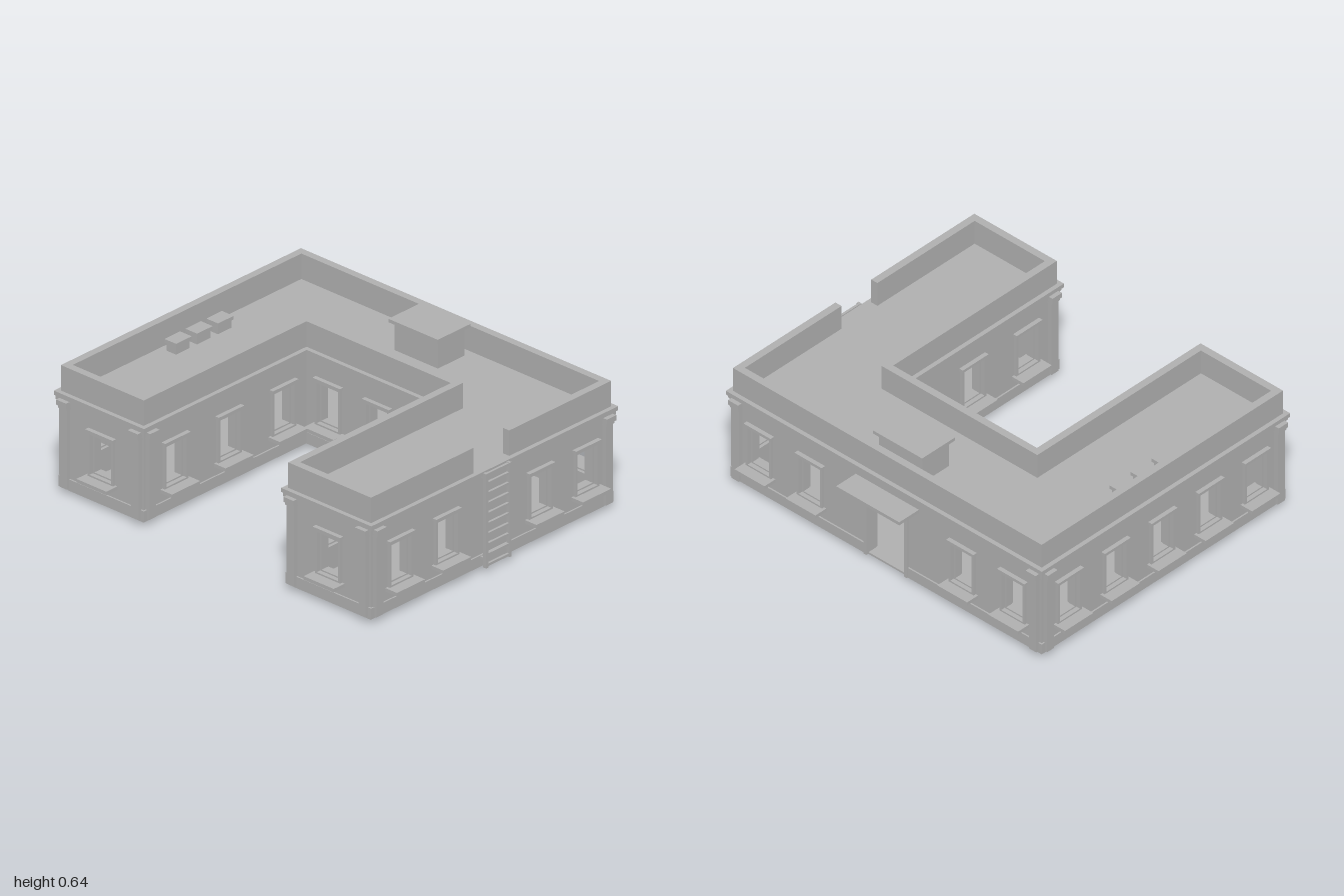
import * as THREE from 'three';

const X = 0.93, BACK = -0.74, FRONT = 0.796, CX = 0.433, CZ = -0.245; // plan of the U
const MID = (BACK + FRONT) / 2, LEN = FRONT - BACK;

const stone = new THREE.MeshStandardMaterial({ color: 0xb0b0b0 });
stone.name = 'grey stone';

function mesh(parent, name, geo) {
  const m = new THREE.Mesh(geo, stone);
  m.name = name;
  parent.add(m);
  return m;
}

// box given by its limits
function box(parent, name, x0, x1, y0, y1, z0, z1) {
  const g = new THREE.BoxGeometry(x1 - x0, y1 - y0, z1 - z0);
  g.translate((x0 + x1) / 2, (y0 + y1) / 2, (z0 + z1) / 2);
  return mesh(parent, name, g);
}

// plan outline grown outwards by d, running from the right front corner to the right back corner
const outline = d => [
  [X + d, FRONT + d], [CX - d, FRONT + d], [CX - d, CZ + d], [-CX + d, CZ + d],
  [-CX + d, FRONT + d], [-X - d, FRONT + d], [-X - d, BACK - d], [X + d, BACK - d],
];

// horizontal slab from plan points
function slab(parent, name, pts, y0, y1) {
  const shape = new THREE.Shape(pts.map(p => new THREE.Vector2(...p)));
  const g = new THREE.ExtrudeGeometry(shape, { depth: y1 - y0, bevelEnabled: false });
  g.rotateX(Math.PI / 2);
  g.translate(0, y1, 0);
  return mesh(parent, name, g);
}

function rect(path, x0, x1, y0, y1) {
  path.moveTo(x0, y0);
  path.lineTo(x1, y0);
  path.lineTo(x1, y1);
  path.lineTo(x0, y1);
  path.closePath();
  return path;
}

// upright plate with rectangular holes, from z0 to z1
function plate(parent, name, r, holes, z0, z1) {
  const s = rect(new THREE.Shape(), ...r);
  for (const h of holes) s.holes.push(rect(new THREE.Path(), ...h));
  const g = new THREE.ExtrudeGeometry(s, { depth: z1 - z0, bevelEnabled: false });
  g.translate(0, 0, z0);
  return mesh(parent, name, g);
}

function windowTrim(wall, x) {
  const g = new THREE.Group();
  g.name = 'window';
  g.position.x = x;
  wall.add(g);
  plate(g, 'outerFrame', [-0.076, 0.076, 0.137, 0.355], [[-0.064, 0.064, 0.145, 0.343]], -0.01, 0.014);
  plate(g, 'innerFrame', [-0.066, 0.066, 0.142, 0.346], [[-0.055, 0.055, 0.152, 0.334]], -0.045, -0.008);
  box(g, 'windowHead', -0.082, 0.082, 0.353, 0.366, 0, 0.022);
  box(g, 'windowSill', -0.09, 0.09, 0.12, 0.137, -0.02, 0.07);
}

function pilaster(wall, x) {
  const g = new THREE.Group();
  g.name = 'pilaster';
  g.position.x = x;
  wall.add(g);
  box(g, 'shaft', -0.022, 0.022, 0.03, 0.42, 0, 0.022);
  box(g, 'capLower', -0.026, 0.026, 0.42, 0.435, 0, 0.028);
  box(g, 'capUpper', -0.03, 0.03, 0.435, 0.46, 0, 0.035);
}

// wall facing local +z; pilasters lists the ends (-1, 1) that carry one
function wall(root, name, x, z, turn, len, windows, pilasters, door) {
  const g = new THREE.Group();
  g.name = name;
  g.position.set(x, 0, z);
  g.rotation.y = turn * Math.PI / 2;
  root.add(g);
  const h = len / 2, d = 0.008;
  const holes = windows.map(w => [w - 0.064, w + 0.064, 0.145, 0.343]);
  if (door) holes.push([-0.115, 0.115, 0.03, 0.375]);
  plate(g, 'wallPanel', [-h, h, 0.02, 0.48], holes, -0.06, 0);
  windows.forEach(w => windowTrim(g, w));
  pilasters.forEach(e => pilaster(g, e * (h - 0.034)));
  box(g, 'frieze', -h - d, h + d, 0.432, 0.455, -0.02, d);
  if (door) {
    for (const s of [-1, 1]) {
      const a = s * 0.128, b = s * (h + d);
      box(g, 'plinth', Math.min(a, b), Math.max(a, b), 0.022, 0.075, -0.02, d);
      box(g, 'doorJamb', s * 0.122 - 0.009, s * 0.122 + 0.009, 0.022, 0.39, -0.05, 0.014);
    }
    box(g, 'doorHead', -0.131, 0.131, 0.372, 0.392, -0.05, 0.014);
    box(g, 'doorCanopy', -0.19, 0.19, 0.404, 0.421, 0, 0.125);
  } else {
    box(g, 'plinth', -h - d, h + d, 0.022, 0.075, -0.02, d);
  }
}

export function createModel() {
  const root = new THREE.Group();
  root.name = 'courtyardBuilding';

  // base, cornice and roof
  slab(root, 'baseSlab', outline(-0.02), 0, 0.028);
  slab(root, 'corniceLower', outline(0.013), 0.453, 0.47);
  slab(root, 'roofCornice', outline(0.022), 0.47, 0.49);

  // parapet, open above the ladder
  const gap = [0.14, -0.088], t = -0.037;
  slab(root, 'parapet', [
    [X, gap[0]], ...outline(0), [X, gap[1]],
    [X + t, gap[1]], ...outline(t).reverse(), [X + t, gap[0]],
  ], 0.49, 0.615);

  // outer walls
  const sideZ = [-0.575, -0.278, 0.02, 0.32, 0.615];
  wall(root, 'leftOuterWall', X, MID, 1, LEN, sideZ.filter((z, i) => i !== 2).map(z => MID - z), [-1, 1]);
  wall(root, 'rightOuterWall', -X, MID, -1, LEN, sideZ.map(z => z - MID), [-1, 1]);
  wall(root, 'backWall', 0, BACK, 2, 2 * X, [-0.764, -0.457, 0.457, 0.764], [-1, 1], true);

  // wing ends and courtyard walls
  const cMid = (CZ + FRONT) / 2, cLen = FRONT - CZ, courtZ = [-0.09, 0.257, 0.6];
  for (const s of [-1, 1]) {
    wall(root, 'wingEndWall', s * (X + CX) / 2, FRONT, 0, X - CX, [0], [-1, 1]);
    wall(root, 'courtyardSideWall', s * CX, cMid, -s, cLen, courtZ.map(z => s * (z - cMid)), [s]);
  }
  wall(root, 'courtyardBackWall', 0, CZ, 0, 2 * CX, [-0.295, 0, 0.295], []);

  // roof access box with lid
  box(root, 'roofAccessBox', -0.13, 0.13, 0.48, 0.63, -0.655, -0.485);
  box(root, 'roofAccessLid', -0.148, 0.148, 0.628, 0.645, -0.675, -0.465);

  // three roof vents
  for (const z of [-0.11, 0.024, 0.158]) {
    box(root, 'roofVent', -0.853, -0.797, 0.48, 0.53, z - 0.043, z + 0.043);
    box(root, 'roofVentLid', -0.86, -0.79, 0.53, 0.548, z - 0.05, z + 0.05);
  }

  // ladder
  const ladder = new THREE.Group();
  ladder.name = 'ladder';
  ladder.position.set(0.966, 0, 0.026);
  root.add(ladder);
  for (const s of [-1, 1]) {
    box(ladder, 'ladderRail', -0.009, 0.009, 0.025, 0.488, s * 0.075 - 0.007, s * 0.075 + 0.007);
    for (const y of [0.06, 0.46]) box(ladder, 'ladderBracket', -0.04, 0, y, y + 0.012, s * 0.075 - 0.005, s * 0.075 + 0.005);
  }
  for (let i = 0; i < 9; i++) {
    const y = 0.036 + i * 0.05;
    box(ladder, 'ladderRung', -0.006, 0.006, y - 0.006, y + 0.006, -0.07, 0.07);
  }
  box(ladder, 'ladderTopRung', -0.006, 0.006, 0.474, 0.486, -0.07, 0.07);
  return root;
}
